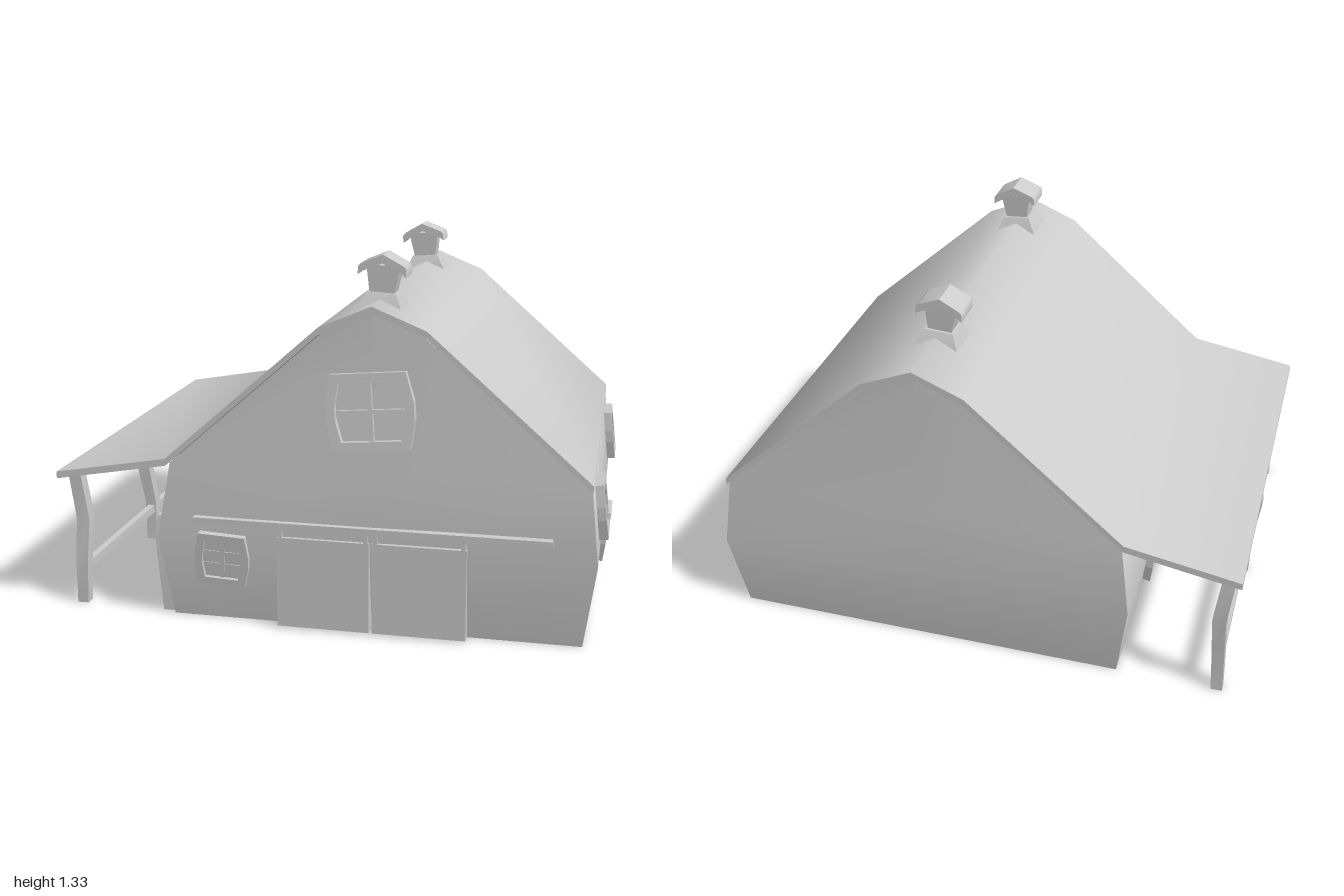
import * as THREE from 'three';
import { toCreasedNormals } from 'three/addons/utils/BufferGeometryUtils.js';

const material = new THREE.MeshStandardMaterial({ color: 0xcccccc });
const CREASE = 0.87;

function add(parent, name, geometry, x = 0, y = 0, z = 0) {
  const mesh = new THREE.Mesh(geometry, material);
  mesh.name = name;
  mesh.position.set(x, y, z);
  parent.add(mesh);
  return mesh;
}

// Closed solid through rings of [x, y, z], each ring counter-clockwise from above
function loft(rings) {
  const n = rings[0].length, top = (rings.length - 1) * n, index = [];
  for (let r = 0; r < rings.length - 1; r++) {
    for (let j = 0; j < n; j++) {
      const a = r * n + j, b = r * n + (j + 1) % n;
      index.push(a, b, b + n, a, b + n, a + n);
    }
  }
  for (let j = 1; j < n - 1; j++) index.push(0, j + 1, j, top, top + j, top + j + 1);
  const geometry = new THREE.BufferGeometry();
  geometry.setAttribute('position', new THREE.Float32BufferAttribute(rings.flat(2), 3));
  geometry.setIndex(index);
  geometry.computeVertexNormals();
  return toCreasedNormals(geometry, CREASE);
}

const rect = (y, cx, cz, w, d) => [
  [cx - w / 2, y, cz + d / 2], [cx + w / 2, y, cz + d / 2],
  [cx + w / 2, y, cz - d / 2], [cx - w / 2, y, cz - d / 2],
];

const toShape = (points) => new THREE.Shape(points.map(([x, y]) => new THREE.Vector2(x, y)));

// Extrusion along z, centred on its depth
function extrude(points, depth) {
  const geometry = new THREE.ExtrudeGeometry(toShape(points), { depth, bevelEnabled: false });
  geometry.translate(0, 0, -depth / 2);
  return toCreasedNormals(geometry, CREASE);
}

// Strip of even vertical thickness below a top line
const strip = (line, t) => [...line, ...line.map(([x, y]) => [x, y - t]).reverse()].reverse();

// Barrel-sided outline used by the windows
const barrel = (w, h) => [
  [-0.43 * w, -h / 2], [0.43 * w, -h / 2], [0.5 * w, -0.12 * h], [0.5 * w, 0.12 * h],
  [0.43 * w, h / 2], [-0.43 * w, h / 2], [-0.5 * w, 0.12 * h], [-0.5 * w, -0.12 * h],
];

// Window facing its local +z, with a grid of panes
function addWindow(parent, name, { w, h, border, rows, depth, at, turn = 0, tilt = 0, roll = 0 }) {
  const group = new THREE.Group();
  group.name = name;
  group.position.set(...at);
  group.rotation.set(tilt, turn, roll, 'YXZ');
  parent.add(group);

  const iw = w - 2 * border, ih = h - 2 * border;
  const frame = toShape(barrel(w, h));
  frame.holes.push(toShape(barrel(iw, ih).reverse()));
  const frameGeometry = new THREE.ExtrudeGeometry(frame, { depth: depth + 0.03, bevelEnabled: false });
  add(group, 'windowFrame', frameGeometry, 0, 0, -0.03);
  add(group, 'windowPane', new THREE.ShapeGeometry(toShape(barrel(iw, ih))), 0, 0, 0.006);
  add(group, 'windowMullion', new THREE.BoxGeometry(0.016, ih, 0.03), 0, 0, depth - 0.025);
  for (let i = 1; i < rows; i++) {
    add(group, 'windowBar', new THREE.BoxGeometry(iw * 0.97, 0.014, 0.028), 0, ih * (i / rows - 0.5), depth - 0.025);
  }
}

// Ridge vent with flared foot, neck and small gable cap
function addVent(parent, name, z, lean) {
  const group = new THREE.Group();
  group.name = name;
  group.position.set(0.172, 1.1, z);
  group.rotation.z = lean;
  parent.add(group);
  add(group, 'ventFoot', loft([rect(-0.01, 0, 0, 0.2, 0.18), rect(0.05, 0, 0, 0.155, 0.15), rect(0.1, 0, 0, 0.105, 0.1)]));
  add(group, 'ventNeck', loft([rect(0.09, 0, 0, 0.085, 0.08), rect(0.195, 0, 0, 0.12, 0.085)]));
  add(group, 'ventCap', extrude(strip([[-0.085, 0.19], [-0.075, 0.2], [0, 0.235], [0.075, 0.2], [0.085, 0.19]], 0.03), 0.125));
}

export function createModel() {
  const barn = new THREE.Group();
  barn.name = 'barn';
  const midZ = -0.012;

  // Bulging walls: height, left x, right x, corner depth, middle depth
  const wallRows = [
    [0, -0.57, 0.92, 0.745, 0.745],
    [0.31, -0.61, 0.963, 0.787, 0.79],
    [0.58, -0.57, 0.933, 0.75, 0.776],
    [1.075, -0.005, 0.355, 0.755, 0.764],
    [1.155, 0.165, 0.185, 0.76, 0.76],
  ];
  add(barn, 'walls', loft(wallRows.map(([y, l, r, c, m]) => {
    const mx = (l + r) / 2;
    return [
      [l, y, midZ + c], [mx, y, midZ + m], [r, y, midZ + c],
      [r, y, midZ - c], [mx, y, midZ - m], [l, y, midZ - c],
    ];
  })));

  // Main roof running on into the lean-to roof
  const roofLine = [[-1, 0.527], [-0.58, 0.6], [-0.01, 1.1], [0.175, 1.178], [0.365, 1.1], [0.937, 0.595]];
  add(barn, 'roof', extrude(strip(roofLine, 0.026), 1.545), 0, 0, -0.012);

  addVent(barn, 'frontVent', 0.552, -0.06);
  addVent(barn, 'backVent', -0.475, 0.08);

  // Sliding front doors hanging from a rail
  for (const x of [0.005, 0.35]) {
    add(barn, 'slidingDoor', new THREE.BoxGeometry(0.335, 0.335, 0.065), x, 0.1755, 0.756);
    for (const side of [-1, 1]) {
      add(barn, 'doorHanger', new THREE.BoxGeometry(0.016, 0.06, 0.02), x + side * 0.155, 0.36, 0.778);
    }
  }
  add(barn, 'doorRail', new THREE.BoxGeometry(1.28, 0.024, 0.04), 0.17, 0.387, 0.775);

  // Windows
  addWindow(barn, 'gableWindow', {
    w: 0.31, h: 0.27, border: 0.033, rows: 2, depth: 0.036, at: [0.175, 0.815, 0.757], tilt: -0.09, roll: 0.08,
  });
  const small = { w: 0.2, h: 0.2, border: 0.028, rows: 3, depth: 0.03 };
  addWindow(barn, 'frontWindow', { ...small, depth: 0.02, at: [-0.37, 0.24, 0.766], tilt: 0.12, roll: -0.05 });
  for (const z of [0.49, -0.56]) {
    addWindow(barn, 'upperSideWindow', { ...small, at: [0.95, 0.44, z], turn: Math.PI / 2, tilt: -0.12 });
  }
  addWindow(barn, 'lowerSideWindow', { ...small, at: [0.95, 0.185, 0.005], turn: Math.PI / 2, tilt: 0.14 });
  addWindow(barn, 'porchWindow', { ...small, at: [-0.6, 0.24, -0.3], turn: -Math.PI / 2, tilt: 0.12 });

  // Door under the lean-to, following the slope of the wall
  add(barn, 'porchDoor', loft([
    rect(0, -0.585, 0.6, 0.06, 0.2), rect(0.29, -0.605, 0.6, 0.06, 0.22), rect(0.37, -0.59, 0.6, 0.06, 0.2),
  ]));
  for (const side of [-1, 1]) {
    add(barn, 'porchDoorJamb', loft([
      rect(0, -0.59, 0.6 + side * 0.1, 0.065, 0.025),
      rect(0.29, -0.61, 0.6 + side * 0.11, 0.065, 0.025),
      rect(0.37, -0.6, 0.6 + side * 0.1, 0.065, 0.025),
    ]));
  }

  // Crooked lean-to posts joined by low rails
  const posts = [[0.69, 1], [-0.03, -1], [-0.74, 1]];
  for (const [z, bend] of posts) {
    add(barn, 'leanToPost', loft([
      rect(0, -0.945, z, 0.042, 0.042),
      rect(0.17, -0.942 + bend * 0.004, z + bend * 0.006, 0.046, 0.046),
      rect(0.33, -0.95 + bend * 0.018, z - bend * 0.012, 0.05, 0.048),
      rect(0.525, -0.955, z, 0.046, 0.046),
    ]));
  }
  for (let i = 0; i < 2; i++) {
    const a = posts[i][0], b = posts[i + 1][0];
    add(barn, 'leanToRail', new THREE.BoxGeometry(0.026, 0.032, a - b), -0.943, 0.135, (a + b) / 2);
  }

  // Curved brace from the middle post to the lean-to roof
  add(barn, 'leanToBrace', extrude([
    [-0.94, 0.4], [-0.915, 0.4], [-0.82, 0.455], [-0.735, 0.55], [-0.8, 0.54], [-0.845, 0.485], [-0.94, 0.435],
  ], 0.035), 0, 0, -0.03);

  return barn;
}
